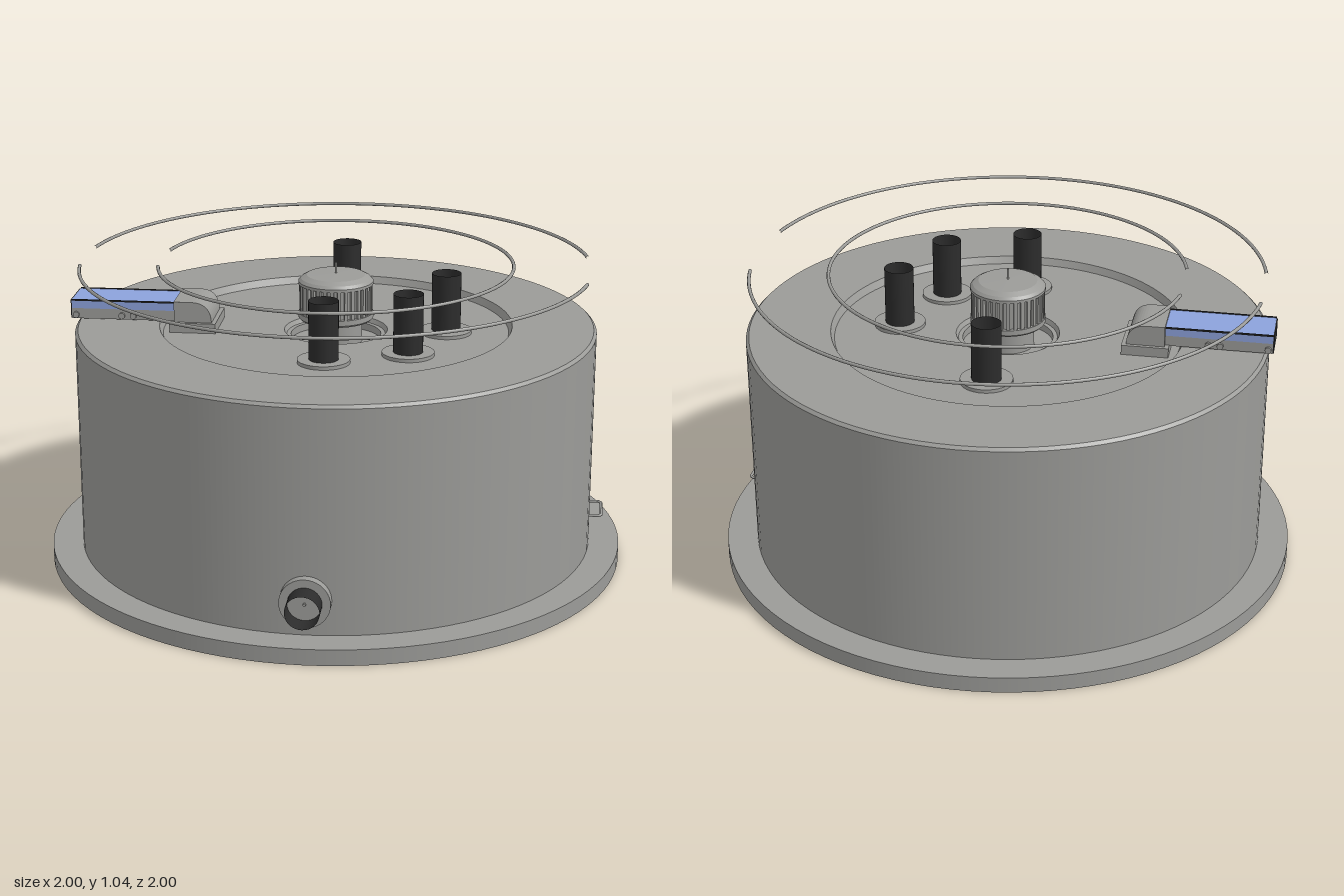
import * as THREE from 'three';
import { mergeGeometries } from 'three/addons/utils/BufferGeometryUtils.js';

const DECK = 0.825, FLOOR = 0.80;

export function createModel() {
  const model = new THREE.Group();
  const mat = (name, color, side = THREE.FrontSide) => {
    const m = new THREE.MeshStandardMaterial({ color, side });
    m.name = name;
    return m;
  };
  const grey = mat('satin grey', 0x9b9b98);
  const black = mat('rubber black', 0x2c2c2c, THREE.DoubleSide);
  const blue = mat('clear blue', 0x8ca2dc);

  const add = (name, geo, material, x = 0, y = 0, z = 0, parent = model) => {
    const m = new THREE.Mesh(geo, material);
    m.name = name;
    m.position.set(x, y, z);
    parent.add(m);
    return m;
  };
  // Revolved profile, smooth around the axis and crisp at every profile corner
  const turned = (pts, seg = 96) => mergeGeometries(pts.slice(1).map((p, i) =>
    new THREE.LatheGeometry([new THREE.Vector2(...pts[i]), new THREE.Vector2(...p)], seg)));
  const cyl = (r, h, seg = 32, open = false) => new THREE.CylinderGeometry(r, r, h, seg, 1, open);
  const rad = THREE.MathUtils.degToRad;

  // Base flange
  add('baseFlange', turned([[0, 0], [1, 0], [1, 0.055], [0.89, 0.055]]), grey);

  // Drum wall, deck, shallow recess and central well
  add('drum', turned([
    [0.895, 0.055], [0.895, 0.815], [0.885, DECK], [0.607, DECK], [0.595, FLOOR],
    [0.178, FLOOR], [0.17, 0.785], [0.155, 0.785], [0.155, 0.76], [0, 0.76],
  ]), grey);

  // Central knob: stem, flanges, domed cap and pin
  const knob = new THREE.Group();
  knob.name = 'centralKnob';
  model.add(knob);
  add('knobBody', turned([
    [0.09, 0.76], [0.09, 0.84], [0.122, 0.84], [0.129, 0.847], [0.129, 0.865], [0.116, 0.865],
    [0.116, 0.965], [0.129, 0.965], [0.129, 0.975], [0.12, 0.985], [0.1, 0.996], [0, 1.0],
  ], 48), grey, 0, 0, 0, knob);
  const ribs = 32;
  for (let i = 0; i < ribs; i++) {
    const a = (i / ribs) * Math.PI * 2;
    const rib = add('knobRib', new THREE.BoxGeometry(0.012, 0.1, 0.012), grey,
      Math.cos(a) * 0.12, 0.915, Math.sin(a) * 0.12, knob);
    rib.rotation.y = -a;
  }
  add('knobPin', cyl(0.004, 0.04, 8), grey, 0, 1.018, 0, knob);

  // Upright hollow tubes on washers
  for (const [x, z] of [[0, -0.385], [0.38, 0], [0.27, 0.27], [0, 0.38]]) {
    const post = new THREE.Group();
    post.name = 'tubePost';
    post.position.set(x, 0, z);
    model.add(post);
    add('washer', cyl(0.088, 0.012, 40), grey, 0, FLOOR + 0.006, 0, post);
    add('tube', cyl(0.05, 0.2, 32, true), black, 0, 0.911, 0, post);
    add('tubePin', cyl(0.005, 0.01, 8), grey, 0, 0.816, 0, post);
  }

  // Front port
  const port = new THREE.Group();
  port.name = 'frontPort';
  port.position.set(0, 0.175, 0.88);
  port.rotation.x = Math.PI / 2;
  model.add(port);
  add('portFlange', cyl(0.083, 0.045, 40), grey, 0, 0.0225, 0, port);
  add('portTube', cyl(0.056, 0.075, 32, true), black, 0, 0.08, 0, port);
  add('portPin', cyl(0.005, 0.01, 8), grey, 0, 0.048, 0, port);

  // Wire handle on the left side
  const corners = [[0.89, 0.068], [0.925, 0.068], [0.935, 0.058], [0.935, -0.058], [0.925, -0.068], [0.89, -0.068]];
  const path = new THREE.CurvePath();
  for (let i = 1; i < corners.length; i++) {
    const [a, b] = [corners[i - 1], corners[i]].map(([x, z]) => new THREE.Vector3(x, 0.172, z));
    path.add(new THREE.LineCurve3(a, b));
  }
  add('sideHandle', new THREE.TubeGeometry(path, 48, 0.005, 8), grey);

  // Floating wire rings, open beside the latch
  const ring = (name, r, from, to) => add(name,
    new THREE.TorusGeometry(r, 0.006, 8, 96, rad(to - from)).rotateZ(rad(from)).rotateX(Math.PI / 2),
    grey, 0, 1.034, 0);
  ring('outerRingFront', 0.873, 12, 172);
  ring('outerRingBack', 0.873, 188, 349);
  ring('innerRing', 0.607, -170, 170);

  // Latch on the right side: blue cover over a grey tray, with a rounded housing
  const latch = new THREE.Group();
  latch.name = 'latch';
  model.add(latch);
  add('latchTray', new THREE.BoxGeometry(0.36, 0.036, 0.146), grey, -0.73, 0.85, 0, latch);
  add('latchCover', new THREE.BoxGeometry(0.36, 0.03, 0.146), blue, -0.73, 0.883, 0, latch);
  add('latchEnd', new THREE.BoxGeometry(0.006, 0.064, 0.142), black, -0.911, 0.865, 0, latch);
  for (const s of [-1, 1]) {
    add('latchEdge', new THREE.BoxGeometry(0.36, 0.005, 0.006), black, -0.73, 0.898, s * 0.075, latch);
    for (const x of [-0.895, -0.735, -0.695]) {
      const screw = add('latchScrew', cyl(0.011, 0.012, 16), grey, x, 0.846, s * 0.076, latch);
      screw.rotation.x = Math.PI / 2;
    }
  }
  const side = new THREE.Shape();
  side.moveTo(-0.55, FLOOR);
  side.lineTo(-0.42, FLOOR);
  side.lineTo(-0.42, 0.835);
  side.quadraticCurveTo(-0.422, 0.905, -0.49, 0.905);
  side.lineTo(-0.55, 0.905);
  side.closePath();
  add('latchHousing', new THREE.ExtrudeGeometry(side, { depth: 0.18, bevelEnabled: false, curveSegments: 12 }),
    grey, 0, 0, -0.09, latch);
  add('latchPlate', new THREE.BoxGeometry(0.16, 0.034, 0.206), grey, -0.485, FLOOR + 0.017, 0, latch);

  return model;
}
